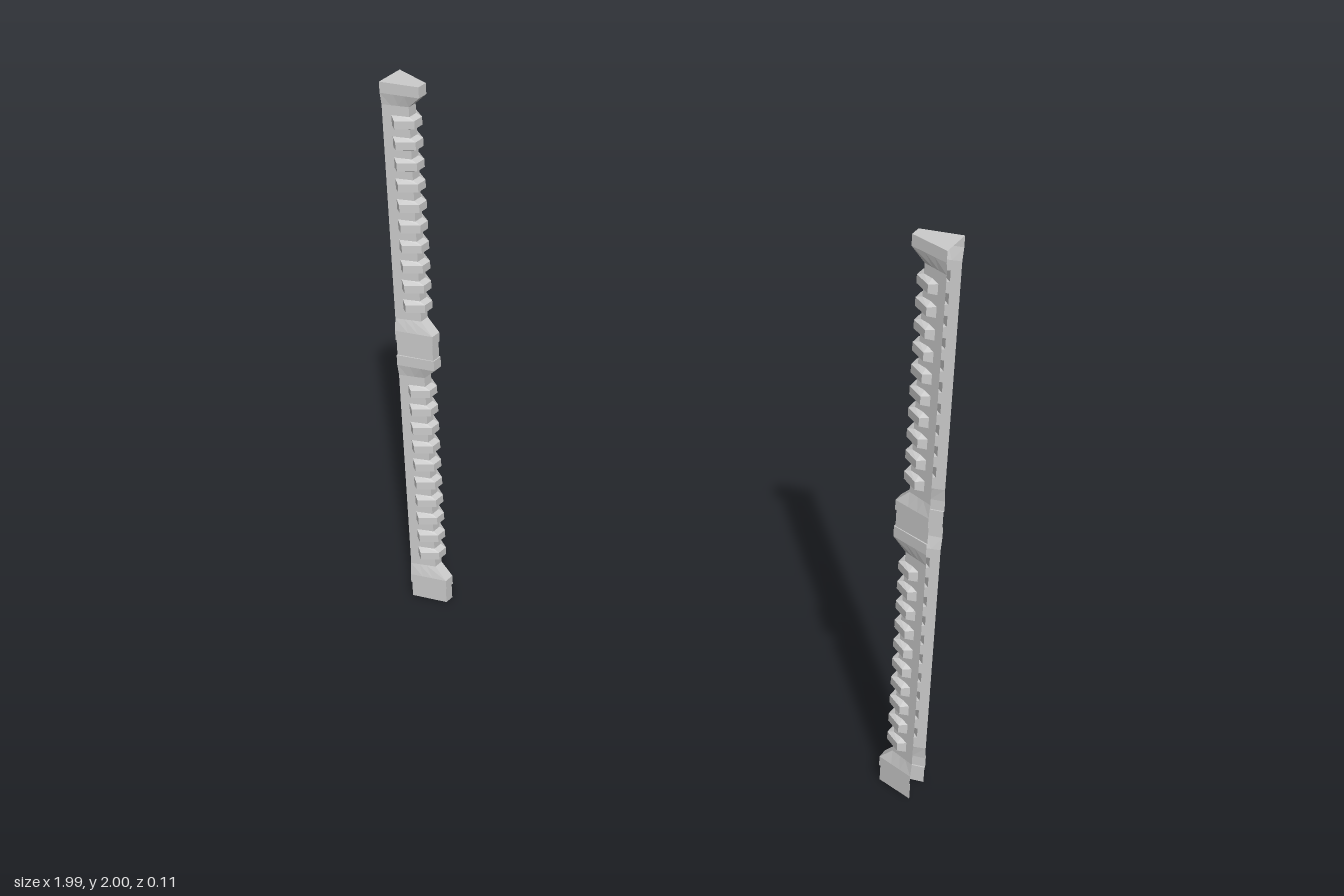
import * as THREE from 'three';

const OUTER = 0.997;

// Open cross-section [x, z] of the hollow pillar, from the front outer edge round to the back.
function section(innerX, innerZ, outerZ) {
  const at = (t) => [OUTER + (innerX - OUTER) * t, outerZ + (innerZ - outerZ) * t];
  return mirrorZ([at(0), at(0.34), at(0.62), at(1)]);
}

function mirrorZ(half) {
  return [...half, ...half.map(([x, z]) => [x, -z]).reverse()];
}

const SHAFT = section(0.912, 0.018, 0.047);
const FLARE = section(0.868, 0.019, 0.053);
const STRIP = section(0.872, 0.017, 0.048);
// The rib leaves the shaft at its second point and pushes the rest outwards
const RIB = mirrorZ([SHAFT[0], SHAFT[1], [0.945, 0.055], [0.891, 0.02]]);

// Joins rows of [y, section] into a faceted open shell
function loft(rows) {
  const positions = [];
  for (let r = 0; r < rows.length - 1; r++) {
    const [y0, s0] = rows[r];
    const [y1, s1] = rows[r + 1];
    for (let i = 0; i < s0.length - 1; i++) {
      const a = [s0[i][0], y0, s0[i][1]];
      const b = [s0[i + 1][0], y0, s0[i + 1][1]];
      const c = [s1[i + 1][0], y1, s1[i + 1][1]];
      const d = [s1[i][0], y1, s1[i][1]];
      positions.push(...a, ...b, ...c, ...a, ...c, ...d);
    }
  }
  const geometry = new THREE.BufferGeometry();
  geometry.setAttribute('position', new THREE.Float32BufferAttribute(positions, 3));
  geometry.computeVertexNormals();
  return geometry;
}

export function createModel() {
  const model = new THREE.Group();
  model.name = 'pillarPair';
  const material = new THREE.MeshStandardMaterial({
    color: 0xcccccc, flatShading: true, side: THREE.DoubleSide,
  });

  // Ten ribs along one shaft
  const shaftRows = [[0.14, SHAFT]];
  for (let i = 0; i < 10; i++) {
    const y = 0.195 + i * 0.0743;
    shaftRows.push([y - 0.022, SHAFT], [y - 0.014, RIB], [y + 0.014, RIB], [y + 0.022, SHAFT]);
  }
  shaftRows.push([0.92, SHAFT]);

  const parts = {
    footStrip: loft([[0, STRIP], [0.06, STRIP], [0.06, FLARE]]),
    footFlare: loft([[0.06, FLARE], [0.095, FLARE], [0.14, SHAFT]]),
    ribbedShaft: loft(shaftRows),
    headFlare: loft([[0.92, SHAFT], [0.962, FLARE], [1, FLARE], [1, STRIP]]),
  };

  // Lid over the top segment
  const lidShape = new THREE.Shape(FLARE.map(([x, z]) => new THREE.Vector2(x, -z)));
  const lidGeometry = new THREE.ShapeGeometry(lidShape).rotateX(-Math.PI / 2);

  for (const side of ['left', 'right']) {
    const pillar = new THREE.Group();
    pillar.name = side + 'Pillar';
    // Two stacked segments
    ['lowerSegment', 'upperSegment'].forEach((name, level) => {
      const segment = new THREE.Group();
      segment.name = name;
      segment.position.y = level;
      for (const [part, geometry] of Object.entries(parts)) {
        const mesh = new THREE.Mesh(geometry, material);
        mesh.name = part;
        segment.add(mesh);
      }
      pillar.add(segment);
    });
    const lid = new THREE.Mesh(lidGeometry, material);
    lid.name = 'topLid';
    lid.position.y = 2;
    pillar.add(lid);
    if (side === 'right') pillar.rotation.y = Math.PI;
    model.add(pillar);
  }
  return model;
}
